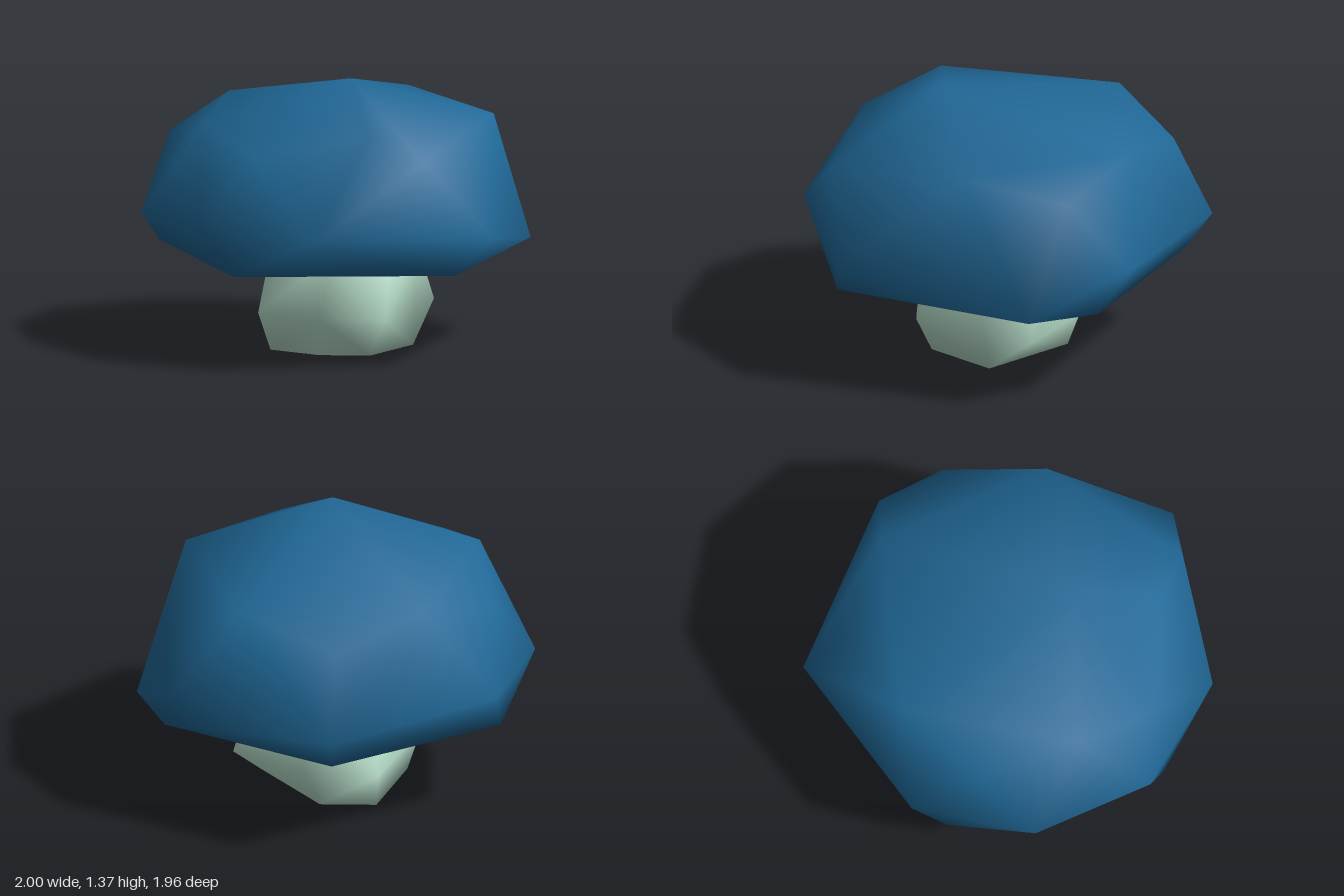
import * as THREE from 'three';
import { ConvexGeometry } from 'three/addons/geometries/ConvexGeometry.js';
import { mergeVertices } from 'three/addons/utils/BufferGeometryUtils.js';

// Faceted hull around a few points, as an indexed geometry so that its normals can be smooth
function hullOf(points) {
  const hull = new ConvexGeometry(points.map((p) => new THREE.Vector3(...p)));
  hull.deleteAttribute('normal');
  return mergeVertices(hull, 1e-4);
}

// Lay plan points [x, z] at height y
const ringAt = (y, plan) => plan.map(([x, z]) => [x, y, z]);

export function createModel() {
  const group = new THREE.Group();
  const capBlue = new THREE.MeshStandardMaterial({ color: 0x206897 });
  capBlue.name = 'capBlue';
  const stemGreen = new THREE.MeshStandardMaterial({ color: 0xbae1cd });
  stemGreen.name = 'stemGreen';

  // Cap: peak, two alternating shoulder rings, wide rim and a five-sided lower edge
  const upperShoulder = ringAt(1.16, [
    [-0.77, -0.11], [-0.147, -0.74], [0.64, -0.35], [0.5, 0.5], [-0.353, 0.68],
  ]);
  const lowerShoulder = ringAt(1.04, [
    [0.344, -0.762], [-0.64, -0.58], [-0.77, 0.386], [0.05, 0.83], [0.76, 0.41],
  ]);
  const rim = [
    [0.12, 0.69, -0.98], [0.59, 0.486, -0.73], [1, 0.65, 0.15], [0.44, 0.675, 0.87],
    [-0.16, 0.69, 0.975], [-0.71, 0.686, 0.71], [-1, 0.69, 0.165], [-0.765, 0.643, -0.72],
  ];
  const lowerEdge = ringAt(0.47, [
    [0.855, 0.28], [0, 0.93], [-0.893, 0.3], [-0.67, -0.63], [0.245, -0.875],
  ]);
  const hubY = 0.46;
  const capGeometry = hullOf([
    [0.18, 1.365, 0.2], ...upperShoulder, ...lowerShoulder, ...rim, ...lowerEdge, [0, hubY, 0],
  ]);

  // Raise the middle of the underside into a shallow hollow around the stem
  const position = capGeometry.attributes.position;
  for (let i = 0; i < position.count; i++) {
    if (position.getY(i) < hubY + 0.005) position.setY(i, 0.68);
  }
  capGeometry.computeVertexNormals();
  const cap = new THREE.Mesh(capGeometry, capBlue);
  cap.name = 'cap';
  group.add(cap);

  // Stem: flat foot, low bulge and a neck that narrows into the cap
  const foot = ringAt(0, [
    [-0.213, 0.325], [0.065, 0.31], [0.277, 0.18], [0.272, -0.19], [-0.214, -0.268], [-0.41, -0.075],
  ]);
  const bulge = ringAt(0.19, [
    [-0.24, 0.39], [0.12, 0.38], [0.38, 0.19], [0.226, -0.43], [-0.2, -0.36], [-0.47, -0.12],
  ]);
  const neck = ringAt(0.5, [
    [-0.2, 0.34], [0.16, 0.34], [0.35, 0.12], [0.33, -0.15], [0.1, -0.37], [-0.15, -0.34], [-0.36, -0.05],
  ]);
  const stemGeometry = hullOf([...foot, ...bulge, ...neck, [0, 0.8, 0]]);
  stemGeometry.computeVertexNormals();
  const stem = new THREE.Mesh(stemGeometry, stemGreen);
  stem.name = 'stem';
  group.add(stem);

  return group;
}
